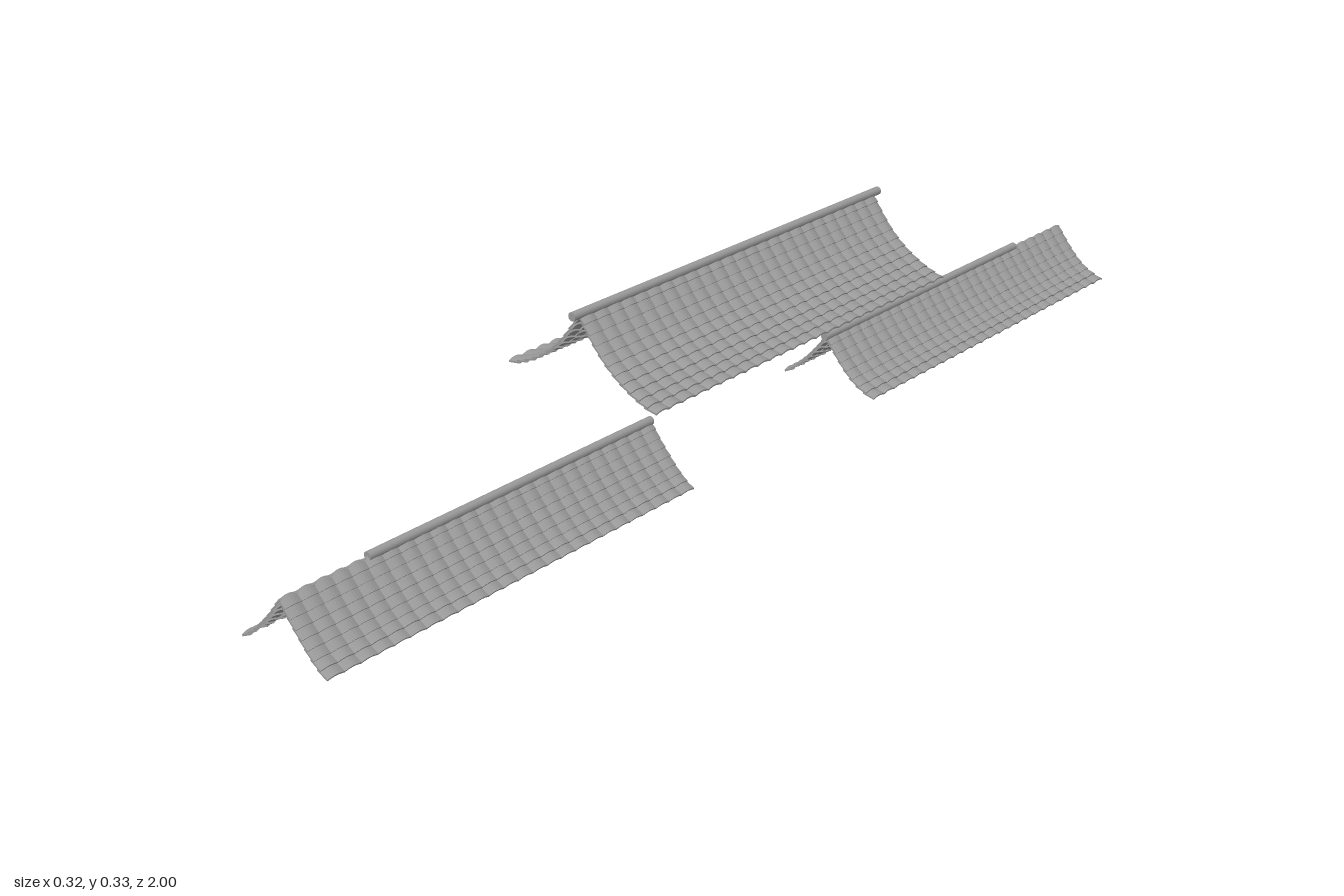
import * as THREE from 'three';
import { mergeGeometries } from 'three/addons/utils/BufferGeometryUtils.js';

const tileGrey = new THREE.MeshStandardMaterial({ color: 0x999999 });
tileGrey.name = 'tile grey';

// Scalloped cross-section of one row of arched tiles
function rowShape(length, columns) {
  const steps = 6, arch = 0.0035, thick = 0.003, pitch = length / columns;
  const top = [], bottom = [];
  for (let i = 0; i <= columns * steps; i++) {
    const x = -length / 2 + i * pitch / steps;
    const y = arch * Math.sin(Math.PI * (i % steps) / steps) - 0.003;
    bottom.push(new THREE.Vector2(x, y));
    top.unshift(new THREE.Vector2(x, y + thick));
  }
  return new THREE.Shape([...bottom, ...top]);
}

// Overlapping tile rows laid down a sagging slope
function slope(name, points, rows, length, columns) {
  const curve = new THREE.CatmullRomCurve3(points.map(([x, y]) => new THREE.Vector3(x, y, 0)));
  const side = Math.sign(points[points.length - 1][0] - points[0][0]);
  const shape = rowShape(length, columns);
  const parts = [];
  for (let i = 0; i < rows; i++) {
    const a = curve.getPointAt(Math.max(0, (i - 0.35) / rows));
    const b = curve.getPointAt((i + 1) / rows);
    const d = b.clone().sub(a).normalize();
    const n = new THREE.Vector3(-d.y * side, d.x * side, 0);
    // lift the lower edge so it laps over the next row
    a.addScaledVector(n, -0.0015);
    b.addScaledVector(n, 0.002);
    d.copy(b).sub(a);
    const depth = d.length();
    d.normalize();
    n.set(-d.y * side, d.x * side, 0);
    const g = new THREE.ExtrudeGeometry(shape, { depth, bevelEnabled: false, steps: 1 });
    g.applyMatrix4(new THREE.Matrix4().makeBasis(n.clone().cross(d), n, d).setPosition(a));
    parts.push(g);
  }
  const mesh = new THREE.Mesh(mergeGeometries(parts), tileGrey);
  mesh.name = name;
  return mesh;
}

function roof(o) {
  const group = new THREE.Group();
  group.name = o.name;
  const left = slope('leftSlope', o.left, o.rows, o.length, o.columns);
  const right = slope('rightSlope', o.right, o.rows, o.length, o.columns);
  left.position.z = right.position.z = o.z;
  // Round ridge cap along the crest
  const [x, y] = o.left[0];
  const ridge = new THREE.Mesh(
    new THREE.CylinderGeometry(0.0075, 0.0075, o.ridge[1] - o.ridge[0], 12).rotateX(Math.PI / 2), tileGrey);
  ridge.name = 'ridgeCap';
  ridge.position.set(x, y, (o.ridge[0] + o.ridge[1]) / 2);
  group.add(left, right, ridge);
  return group;
}

export function createModel() {
  const model = new THREE.Group();
  model.name = 'tiledRoofs';

  // Tall middle roof
  const main = [[0, 0.327], [0.028, 0.288], [0.055, 0.258], [0.09, 0.232], [0.128, 0.213], [0.16, 0.203]];
  model.add(roof({
    name: 'mainRoof', left: main, right: main.map(([x, y]) => [-x, y]),
    rows: 11, length: 0.76, columns: 25, z: 0, ridge: [-0.395, 0.395],
  }));

  // Lower roofs at both ends; the rear one reaches further out on its left
  const low = [[0.015, 0.099], [-0.006, 0.071], [-0.027, 0.047], [-0.05, 0.025], [-0.078, 0.005]];
  const frontLeft = [[0.015, 0.099], [0.036, 0.071], [0.057, 0.047], [0.08, 0.023], [0.107, 0.004]];
  const rearLeft = [[0.015, 0.099], [0.036, 0.071], [0.057, 0.047], [0.085, 0.023], [0.124, 0.007]];
  model.add(roof({
    name: 'frontRoof', left: frontLeft, right: low,
    rows: 8, length: 0.765, columns: 25, z: 0.6175, ridge: [0.235, 0.84],
  }));
  model.add(roof({
    name: 'rearRoof', left: rearLeft, right: low,
    rows: 8, length: 0.77, columns: 25, z: -0.615, ridge: [-0.835, -0.225],
  }));
  return model;
}
